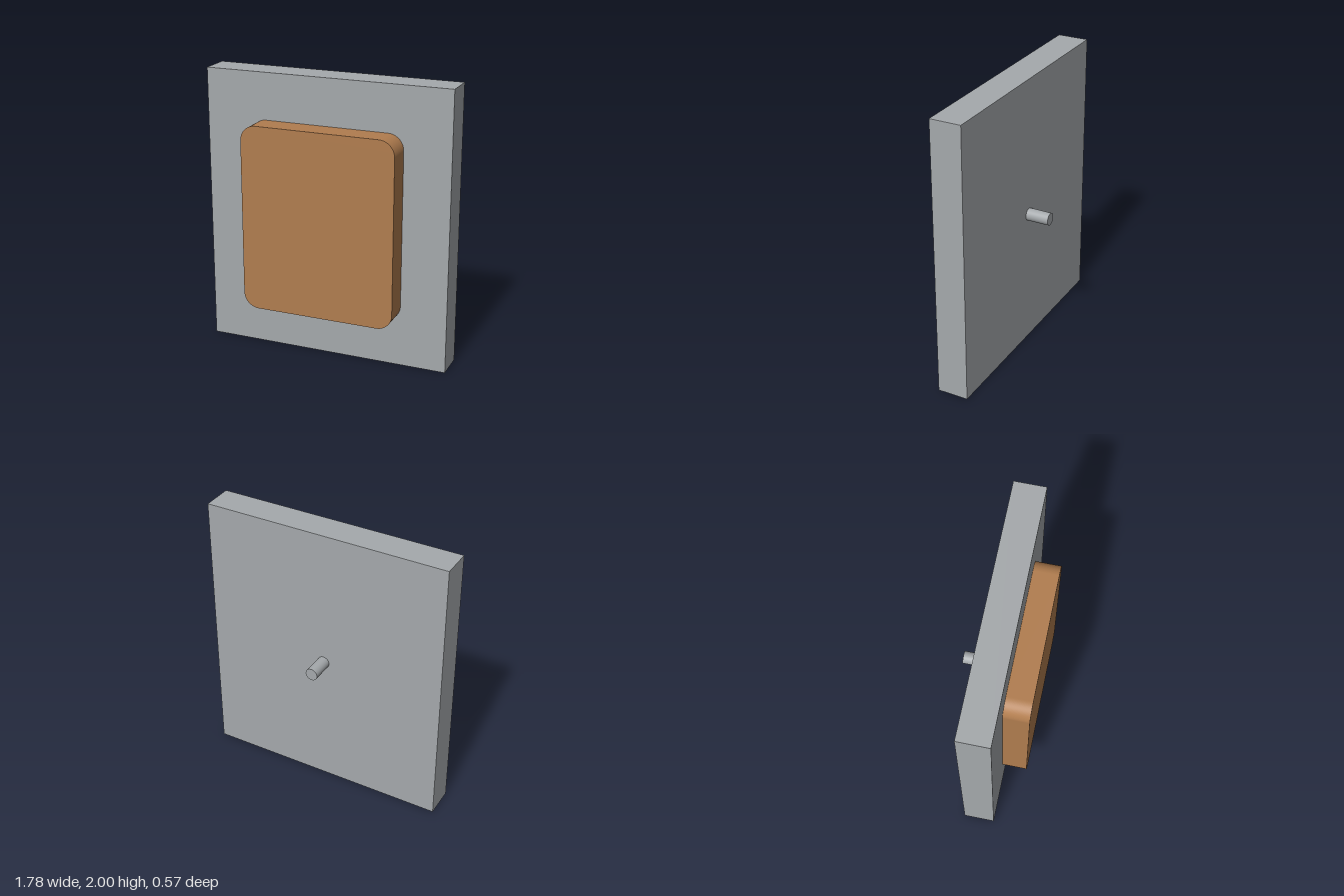
import * as THREE from 'three';

const FRONT = 0.1056; // front face of the plate
const BACK = -0.1167; // back face of the plate

// Rectangle with rounded corners, centred on the origin
function roundedRect(w, h, r) {
  const x = w / 2, y = h / 2;
  const s = new THREE.Shape();
  s.absarc(x - r, y - r, r, 0, Math.PI / 2);
  s.absarc(-x + r, y - r, r, Math.PI / 2, Math.PI);
  s.absarc(-x + r, -y + r, r, Math.PI, Math.PI * 1.5);
  s.absarc(x - r, -y + r, r, Math.PI * 1.5, Math.PI * 2);
  s.closePath();
  return s;
}

export function createModel() {
  const group = new THREE.Group();
  const grey = new THREE.MeshStandardMaterial({ color: 0xa5a9ac });
  grey.name = 'grey metal';
  const copper = new THREE.MeshStandardMaterial({ color: 0xb17d4f });
  copper.name = 'copper brown';

  const add = (name, geometry, material, y, z) => {
    const mesh = new THREE.Mesh(geometry, material);
    mesh.name = name;
    mesh.position.set(0, y, z);
    group.add(mesh);
  };

  // Flat backing plate
  add('plate', new THREE.BoxGeometry(1.7778, 2, FRONT - BACK), grey, 1, (FRONT + BACK) / 2);

  // Raised pad with rounded corners on the front
  const pad = new THREE.ExtrudeGeometry(roundedRect(1.1111, 1.3333, 0.1111), {
    depth: 0.1778, bevelEnabled: false, curveSegments: 16,
  });
  add('pad', pad, copper, 1, FRONT);

  // Round pin on the back
  const pin = new THREE.CylinderGeometry(0.0444, 0.0444, 0.1667, 32).rotateX(Math.PI / 2);
  add('pin', pin, grey, 1, BACK - 0.1667 / 2);

  return group;
}
